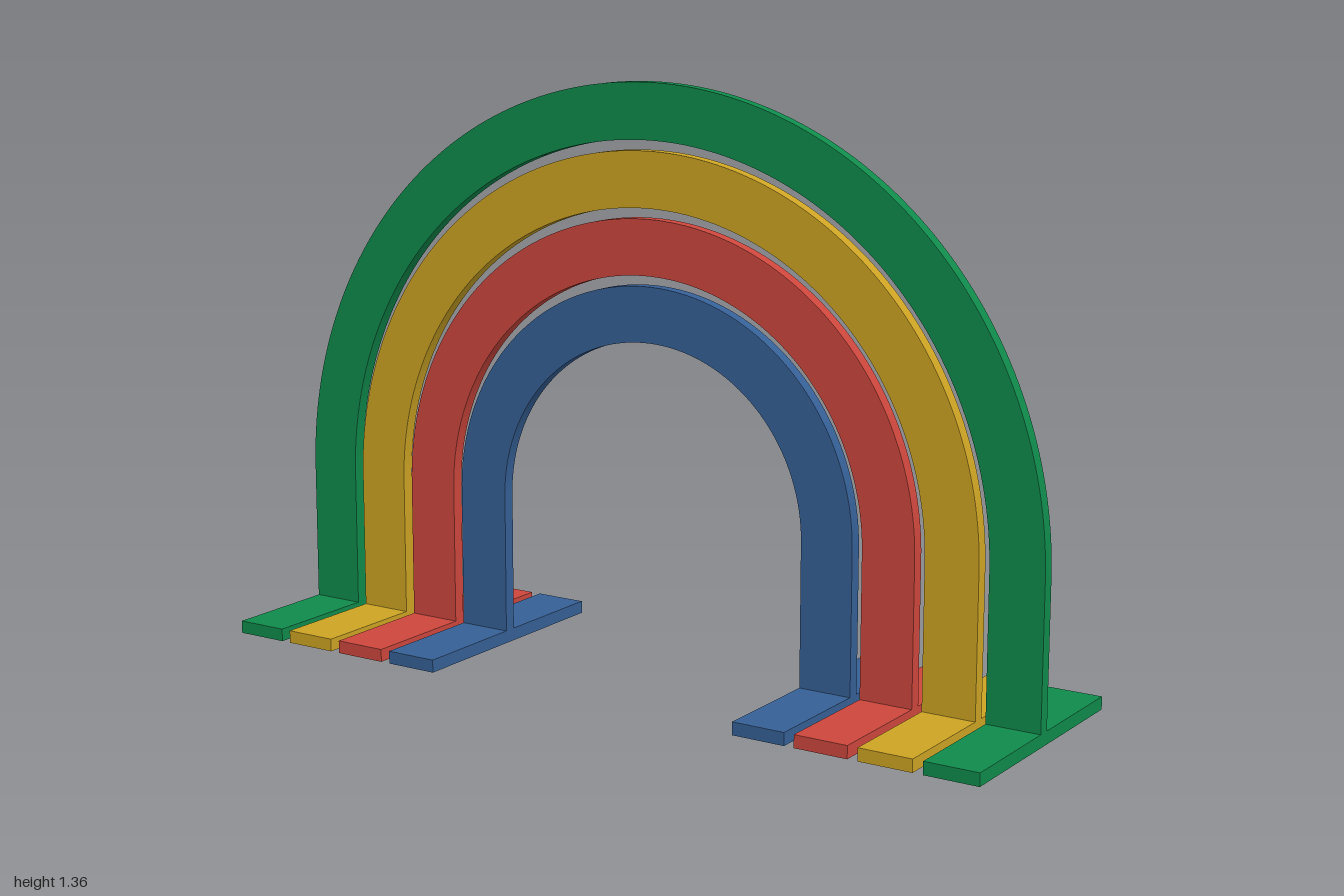
import * as THREE from 'three';

const CENTER_X = -0.006;  // shared axis of the arches
const SPRING_Y = 0.364;   // height where the legs turn into the curve
const BAND = 0.129;       // width of each band
const THICK = 0.03;       // thickness of the arches and feet

// Flat arch: two straight legs joined by a half ring
function archGeometry(outer) {
  const inner = outer - BAND;
  const s = new THREE.Shape();
  s.moveTo(outer, 0);
  s.lineTo(outer, SPRING_Y);
  s.absarc(0, SPRING_Y, outer, 0, Math.PI, false);
  s.lineTo(-outer, 0);
  s.lineTo(-inner, 0);
  s.lineTo(-inner, SPRING_Y);
  s.absarc(0, SPRING_Y, inner, Math.PI, 0, true);
  s.lineTo(inner, 0);
  s.closePath();
  const g = new THREE.ExtrudeGeometry(s, { depth: THICK, bevelEnabled: false, curveSegments: 64 });
  return g.translate(0, 0, -THICK / 2);
}

export function createModel() {
  const model = new THREE.Group();
  model.name = 'rainbowArch';

  const bands = [
    ['green', 0x0f8a4b, 0.994],
    ['yellow', 0xcca323, 0.841],
    ['red', 0xcc463c, 0.688],
    ['blue', 0x355f95, 0.535],
  ];

  for (const [name, color, outer] of bands) {
    const material = new THREE.MeshStandardMaterial({ color });
    material.name = name;

    const band = new THREE.Group();
    band.name = name + 'Band';
    band.position.x = CENTER_X;

    const arch = new THREE.Mesh(archGeometry(outer), material);
    arch.name = name + 'Arch';
    band.add(arch);

    // Long flat foot under each leg
    for (const side of [-1, 1]) {
      const foot = new THREE.Mesh(new THREE.BoxGeometry(BAND, THICK, 0.6), material);
      foot.name = name + (side > 0 ? 'LeftFoot' : 'RightFoot');
      foot.position.set(side * (outer - BAND / 2), THICK / 2, 0);
      band.add(foot);
    }
    model.add(band);
  }
  return model;
}
